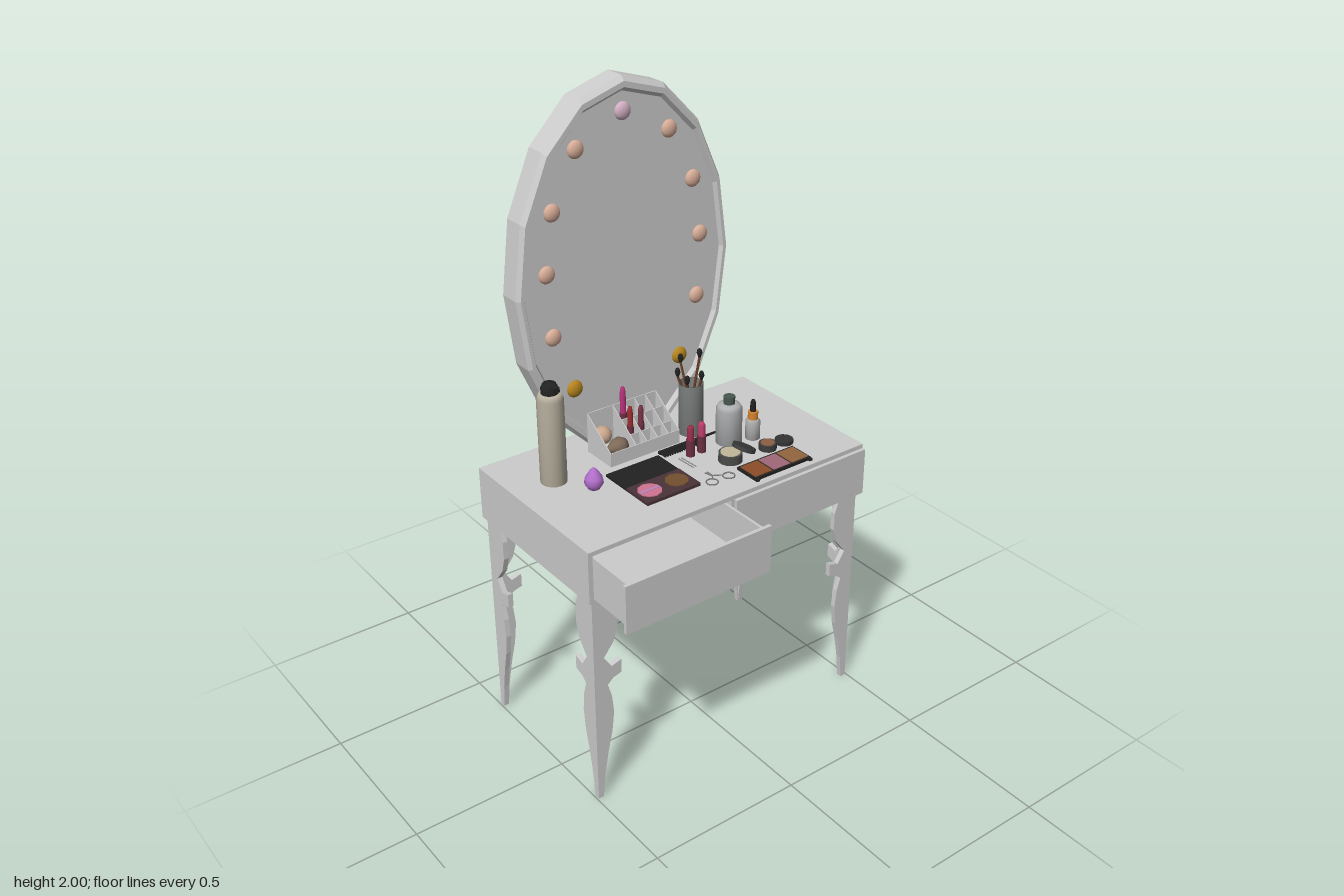
import * as THREE from 'three';

const DESK = 0.88; // height of the table top
const GREY = 0xcccccc, BLACK = 0x222222;

function mesh(parent, name, geo, color = GREY, x = 0, y = 0, z = 0, flat = true) {
  const mat = new THREE.MeshStandardMaterial({ color, flatShading: flat, side: THREE.DoubleSide });
  const m = new THREE.Mesh(geo, mat);
  m.name = name;
  m.position.set(x, y, z);
  parent.add(m);
  return m;
}
// Box given by its limits on each axis
function slab(parent, name, [x0, x1], [y0, y1], [z0, z1], color) {
  return mesh(parent, name, new THREE.BoxGeometry(x1 - x0, y1 - y0, z1 - z0), color,
    (x0 + x1) / 2, (y0 + y1) / 2, (z0 + z1) / 2);
}
// Turned part from [radius, height] points
function turned(parent, name, pts, color, x, y, z, sides = 14) {
  const geo = new THREE.LatheGeometry(pts.map(p => new THREE.Vector2(...p)), sides);
  return mesh(parent, name, geo, color, x, y, z, false);
}
function disc(parent, name, r, h, color, x, y, z, sides = 14) {
  return mesh(parent, name, new THREE.CylinderGeometry(r, r, h, sides), color, x, y + h / 2, z);
}
// Thin round rod between two points
function rod(parent, name, a, b, r, color) {
  const path = new THREE.LineCurve3(new THREE.Vector3(...a), new THREE.Vector3(...b));
  return mesh(parent, name, new THREE.TubeGeometry(path, 1, r, 6), color);
}
function group(parent, name) {
  const g = new THREE.Group();
  g.name = name;
  parent.add(g);
  return g;
}

function buildTable(root) {
  const t = group(root, 'table');
  slab(t, 'tableTop', [-0.505, 0.505], [0.866, DESK], [-0.378, 0.205]);
  slab(t, 'tableBottom', [-0.5, 0.5], [0.71, 0.72], [-0.375, 0.2]);
  slab(t, 'tableBack', [-0.505, 0.505], [0.71, 0.866], [-0.378, -0.365]);
  for (const x of [-0.4975, 0, 0.4975])
    slab(t, 'sidePanel', [x - 0.0075, x + 0.0075], [0.71, 0.866], [-0.375, 0.203]);

  // Drawers: an open one and a closed one
  for (const [x0, x1, front] of [[-0.505, -0.004, 0.38], [0.002, 0.505, 0.217]]) {
    const d = group(t, 'drawer'), a = x0 + 0.016, b = x1 - 0.016, back = front - 0.53;
    slab(d, 'drawerFront', [x0, x1], [0.712, 0.866], [front - 0.012, front]);
    slab(d, 'drawerFloor', [a, b], [0.722, 0.732], [back, front - 0.012]);
    slab(d, 'drawerBack', [a, b], [0.722, 0.858], [back, back + 0.008]);
    for (const x of [a, b - 0.008])
      slab(d, 'drawerSide', [x, x + 0.008], [0.722, 0.858], [back, front - 0.012]);
  }

  // Scrolled legs: two cut-out boards meeting at the outer corner
  const inner = [[0.066, 0.712], [0.084, 0.66], [0.085, 0.6], [0.07, 0.55], [0.035, 0.505],
    [0.06, 0.465], [0.094, 0.475], [0.094, 0.43], [0.065, 0.422], [0.045, 0.405], [0.058, 0.36],
    [0.064, 0.3], [0.056, 0.23], [0.04, 0.16], [0.026, 0.08], [0.018, 0]];
  const shape = new THREE.Shape([[0, 0], [0, 0.712], ...inner].map(p => new THREE.Vector2(...p)));
  const T = 0.017;
  const board = new THREE.ExtrudeGeometry(shape, { depth: T, bevelEnabled: false });
  const turnedBoard = board.clone().rotateY(-Math.PI / 2).translate(T, 0, 0);
  const corners = [[-0.495, -0.367, 0], [0.495, -0.367, -1], [0.495, 0.197, 2], [-0.495, 0.197, 1]];
  for (const [x, z, quarter] of corners) {
    const leg = group(t, 'leg');
    mesh(leg, 'legBoard', board);
    mesh(leg, 'legBoard', turnedBoard);
    leg.position.set(x, 0, z);
    leg.rotation.y = quarter * Math.PI / 2;
  }
}

function buildMirror(root) {
  const g = group(root, 'mirror');
  // Sixteen-sided oval with bevelled rim and sunk glass, cut flat where it stands
  const rim = [[0, -0.364], [0.95, -0.364], [1, -0.35], [1, -0.285], [0.975, -0.27], [0.945, -0.27],
    [0.925, -0.283], [0, -0.283]].map(p => new THREE.Vector2(...p));
  const geo = new THREE.LatheGeometry(rim, 16).rotateX(Math.PI / 2);
  geo.scale(0.375, 0.58, 1).translate(-0.025, 1.42, 0);
  const p = geo.attributes.position;
  for (let i = 0; i < p.count; i++) p.setY(i, Math.max(p.getY(i), DESK + 0.008));
  mesh(g, 'ovalMirror', geo);
  slab(g, 'mirrorFoot', [-0.16, 0.11], [DESK - 0.001, DESK + 0.009], [-0.355, -0.28]);

  // Light bulbs
  const bulb = (x, y, color) => mesh(g, 'bulb',
    new THREE.SphereGeometry(0.027, 12, 8).scale(1, 1, 0.55), color, x, y, -0.281, false);
  bulb(-0.025, 1.9, 0xd3b0c4);
  for (const [dx, y, c] of [[0.16, 1.82], [0.245, 1.655], [0.271, 1.477], [0.259, 1.28], [0.193, 1.095, 0xb8861f]])
    for (const s of [-1, 1]) bulb(-0.025 + s * dx, y, c ?? 0xd9ae99);
}

function buildOrganizer(root) {
  const g = group(root, 'organizer');
  const zs = [-0.265, -0.225, -0.185, -0.145], h = [0.13, 0.095, 0.06, 0.045], t = 0.003;
  slab(g, 'organizerFloor', [-0.19, 0.065], [DESK, DESK + 0.005], [zs[0], zs[3]]);
  // Sloping uprights between the columns
  const side = new THREE.Shape([[zs[0], 0], [zs[3], 0], [zs[3], h[3]], [zs[0], h[0]]].map(p => new THREE.Vector2(...p)));
  const upright = new THREE.ExtrudeGeometry(side, { depth: t, bevelEnabled: false }).rotateY(-Math.PI / 2);
  for (const x of [-0.187, -0.095, -0.055, -0.015, 0.025, 0.065]) mesh(g, 'upright', upright, GREY, x, DESK, 0);
  zs.forEach((z, i) => slab(g, 'crossWall', [i % 3 ? -0.095 : -0.19, 0.065], [DESK, DESK + h[i]], [z, z + t]));

  // Sponges and lipsticks in the compartments
  mesh(g, 'roundSponge', new THREE.SphereGeometry(0.029, 12, 8), 0xc9a58c, -0.157, 0.94, -0.233, false);
  const egg = turned(g, 'eggSponge', [[0, -0.036], [0.018, -0.028], [0.028, -0.01], [0.025, 0.01], [0.012, 0.03], [0, 0.038]],
    0x7d6a58, -0.14, 0.92, -0.177);
  egg.rotation.z = Math.PI / 2;
  lipstick(g, -0.072, -0.245, 0.19, 0.012, 0xb8327e);
  lipstick(g, -0.073, -0.207, 0.14, 0.011, 0xa02c30);
  lipstick(g, -0.033, -0.207, 0.13, 0.011, 0x7a3346);
}

function lipstick(parent, x, z, h, r, color) {
  const g = group(parent, 'lipstick');
  disc(g, 'lipstickCase', r, h * 0.55, 0x6b3040, x, DESK, z, 10);
  turned(g, 'lipstickTip', [[r * 0.8, 0], [r * 0.8, h * 0.35], [r * 0.5, h * 0.45], [0, h * 0.45]], color, x, DESK + h * 0.55, z, 10);
}

function buildBottles(root) {
  // Tall spray bottle
  const s = group(root, 'sprayBottle');
  turned(s, 'sprayBody', [[0, 0], [0.04, 0], [0.04, 0.272], [0.033, 0.288], [0, 0.29]], 0xb8b09f, -0.367, DESK, -0.18, 18);
  turned(s, 'sprayCap', [[0.026, 0], [0.026, 0.016], [0.02, 0.03], [0, 0.032]], BLACK, -0.367, 1.169, -0.18);
  slab(s, 'sprayNozzle', [-0.378, -0.356], [1.182, 1.198], [-0.195, -0.142], BLACK);
  // Teardrop sponge
  turned(root, 'teardropSponge', [[0, 0], [0.018, 0.004], [0.029, 0.022], [0.026, 0.04], [0.012, 0.062], [0, 0.074]],
    0xb36fcc, -0.3, DESK, -0.069);
  // Shouldered bottle and dropper bottle
  const b = group(root, 'lotionBottle');
  turned(b, 'lotionBody', [[0, 0], [0.041, 0], [0.041, 0.115], [0.034, 0.128], [0.02, 0.132], [0, 0.132]], 0xaeb0b2, 0.19, DESK, -0.058, 18);
  disc(b, 'lotionCap', 0.018, 0.026, 0x48584e, 0.19, DESK + 0.13, -0.058);
  const d = group(root, 'dropperBottle');
  turned(d, 'dropperBody', [[0, 0], [0.023, 0], [0.023, 0.06], [0.015, 0.068], [0, 0.068]], 0xb4b4b4, 0.263, DESK, -0.032);
  disc(d, 'dropperCollar', 0.016, 0.026, 0xd5842f, 0.263, DESK + 0.066, -0.032);
  turned(d, 'dropperBulb', [[0.009, 0], [0.009, 0.03], [0.005, 0.038], [0, 0.038]], BLACK, 0.263, DESK + 0.092, -0.032);
  lipstick(root, 0.043, -0.058, 0.1, 0.014, 0x9c2f4c);
  lipstick(root, 0.085, -0.058, 0.1, 0.014, 0xc0406e);

  // Cup of brushes
  const c = group(root, 'brushCup');
  turned(c, 'cup', [[0, 0.004], [0.036, 0.004], [0.036, 0.17], [0.039, 0.17], [0.039, 0], [0, 0]], 0x7c807e, 0.135, DESK, -0.177, 16);
  for (const [dx, dz, top] of [[-0.026, -0.022, 1.1], [-0.012, -0.028, 1.14], [0.024, 0.004, 1.16], [0.012, 0.028, 1.1], [-0.024, 0.016, 1.09]]) {
    const tip = [0.135 + dx * 1.2, top - 0.03, -0.177 + dz * 1.2];
    rod(c, 'brushHandle', [0.135 - dx * 0.6, DESK + 0.01, -0.177 - dz * 0.6], tip, 0.004, 0x6a3c22);
    turned(c, 'brushHead', [[0.004, 0], [0.009, 0.014], [0.006, 0.026], [0, 0.03]], BLACK, ...tip, 8);
  }
}

function buildMakeup(root) {
  // Open twin palette
  const p = group(root, 'twinPalette');
  slab(p, 'paletteLid', [-0.233, -0.043], [DESK, 0.888], [-0.106, -0.003], BLACK);
  slab(p, 'paletteBase', [-0.233, -0.043], [DESK, 0.89], [-0.002, 0.103], 0x4a3338);
  disc(p, 'pinkPan', 0.037, 0.004, 0xcf7392, -0.187, 0.889, 0.05, 10);
  slab(p, 'pinkStripe', [-0.222, -0.152], [0.89, 0.894], [0.046, 0.054], 0xb58ac0);
  disc(p, 'brownPan', 0.036, 0.004, 0x73502f, -0.09, 0.889, 0.05, 10);
  // Three-colour palette
  const q = group(root, 'trioPalette');
  slab(q, 'trioTray', [0.1, 0.315], [DESK, 0.889], [0.095, 0.181], BLACK);
  [0x8d4e29, 0xa06878, 0x94653f].forEach((c, i) =>
    slab(q, 'trioPan', [0.106 + i * 0.07, 0.17 + i * 0.07], [0.886, 0.891], [0.102, 0.174], c));
  for (const x of [0.106, 0.31]) slab(q, 'trioHinge', [x - 0.006, x + 0.006], [DESK, 0.887], [0.18, 0.188], BLACK);
  // Jars with their lids beside them
  const j = group(root, 'jars');
  disc(j, 'creamJar', 0.037, 0.028, 0x4a4a48, 0.12, DESK, 0.038, 18);
  disc(j, 'cream', 0.031, 0.002, 0xc2b79a, 0.12, DESK + 0.028, 0.038, 18);
  disc(j, 'creamLid', 0.037, 0.012, 0x3c3c3c, 0.172, DESK + 0.02, 0.038, 18).rotation.z = -0.45;
  disc(j, 'powderJar', 0.028, 0.02, 0x3c3c3c, 0.255, DESK, 0.05);
  disc(j, 'powder', 0.022, 0.002, 0x8a5f42, 0.255, DESK + 0.02, 0.05);
  disc(j, 'powderLid', 0.029, 0.012, 0x333333, 0.32, DESK, 0.05);
}

function buildTools(root) {
  // Comb with a tapering tail
  const c = group(root, 'comb');
  slab(c, 'combSpine', [-0.03, 0.115], [DESK, 0.888], [-0.126, -0.114], BLACK);
  for (let i = 0; i < 16; i++) {
    const x = -0.028 + i * 0.009;
    slab(c, 'combTooth', [x, x + 0.004], [DESK + 0.001, 0.887], [-0.115, -0.09], BLACK);
  }
  const tail = new THREE.CylinderGeometry(0.001, 0.005, 0.17, 6).rotateZ(-Math.PI / 2);
  mesh(c, 'combTail', tail, BLACK, 0.2, 0.885, -0.121);
  // Hair pins
  for (const x of [-0.003, 0.007]) rod(root, 'hairPin', [x, 0.884, -0.057], [x + 0.004, 0.884, 0.012], 0.0018, 0x888888);
  // Scissors
  const s = group(root, 'scissors'), y = 0.884;
  for (const side of [-1, 1]) {
    const cx = 0.024 + side * 0.031;
    const ring = new THREE.TorusGeometry(0.018, 0.0022, 6, 16).rotateX(Math.PI / 2);
    mesh(s, 'scissorRing', ring, 0x777777, cx, y, 0.112);
    rod(s, 'scissorArm', [cx - side * 0.012, y, 0.099], [0.016, y, 0.083], 0.0022, 0x777777);
    rod(s, 'scissorBlade', [0.016, y, 0.083], [0.012 - side * 0.004, y, 0.058], 0.0025, 0x777777);
  }
}

export function createModel() {
  const root = new THREE.Group();
  root.name = 'vanityTable';
  for (const build of [buildTable, buildMirror, buildOrganizer, buildBottles, buildMakeup, buildTools]) build(root);
  return root;
}
